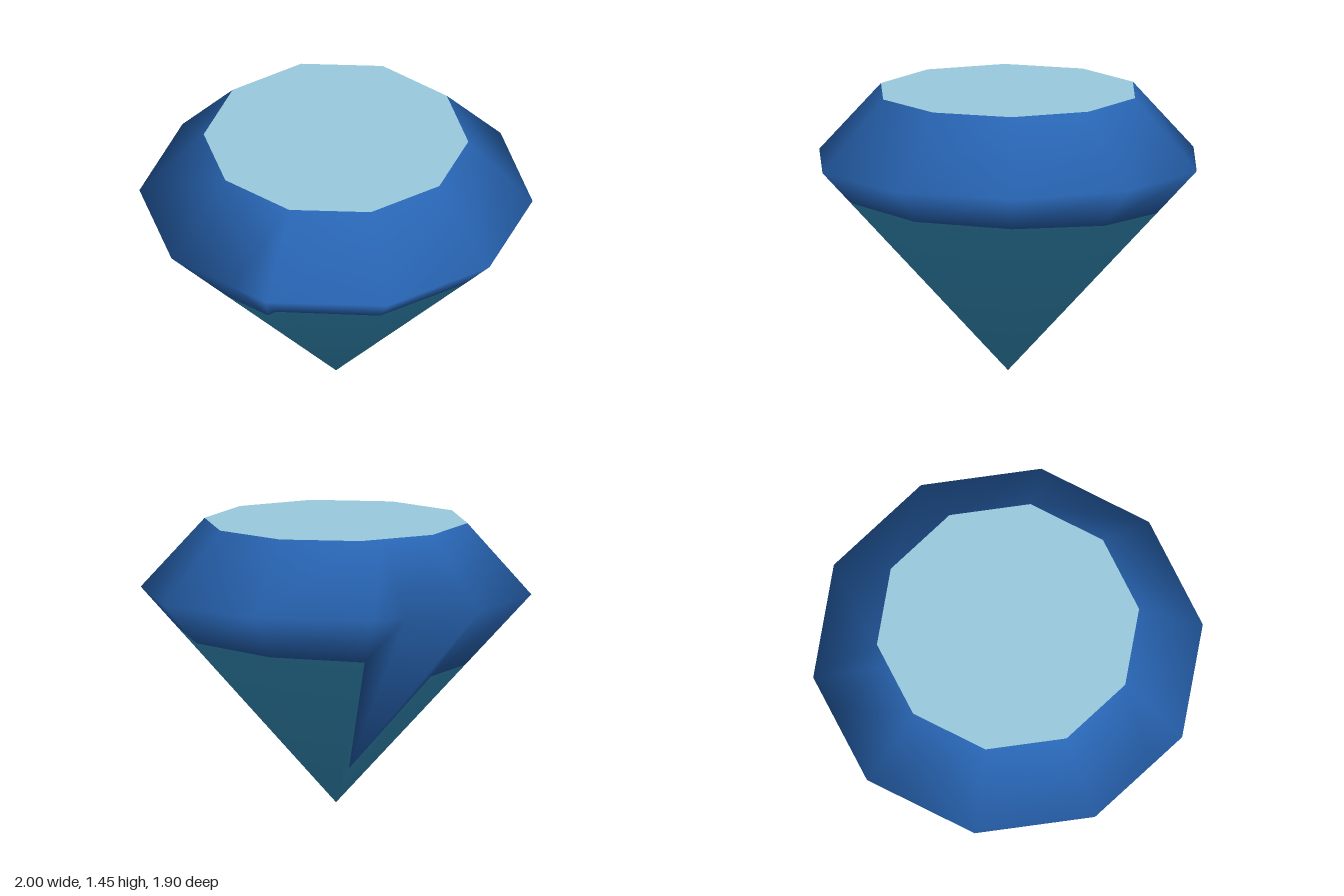
import * as THREE from 'three';

const SIDES = 10;
const GIRDLE_Y = 1.09, TABLE_Y = 1.45, TABLE_R = 0.673;

// Lower edge of the dark body: [angle in degrees from +x towards +z, height]
const EDGE = [
  [0, 0.91], [36, 0.925], [72, 0.94], [84.5, 0.72], [108, 0.72], [144, 0.72],
  [180, 0.72], [205, 0.2], [216, 0.84], [252, 0.86], [288, 0.88], [324, 0.9],
];

// Point on a decagon of the given corner radius
function onDecagon(deg, radius, y) {
  const step = 360 / SIDES;
  const rad = THREE.MathUtils.degToRad;
  const r = radius * Math.cos(rad(step / 2)) / Math.cos(rad((deg % step) - step / 2));
  return [r * Math.cos(rad(deg)), y, r * Math.sin(rad(deg))];
}

// Smooth skin over rings listed from bottom to top; a first ring of one point is a tip
function skin(rings) {
  const n = EDGE.length, positions = [], index = [];
  const starts = rings.map((ring) => {
    const start = positions.length / 3;
    ring.forEach((p) => positions.push(...p));
    return start;
  });
  for (let k = 0; k + 1 < rings.length; k++) {
    for (let i = 0; i < n; i++) {
      const j = (i + 1) % n, b = starts[k], t = starts[k + 1];
      if (rings[k].length === 1) index.push(b, t + i, t + j);
      else index.push(b + j, b + i, t + i, b + j, t + i, t + j);
    }
  }
  const geometry = new THREE.BufferGeometry();
  geometry.setAttribute('position', new THREE.Float32BufferAttribute(positions, 3));
  geometry.setIndex(index);
  geometry.computeVertexNormals();
  return geometry;
}

function material(name, color) {
  const m = new THREE.MeshStandardMaterial({ color });
  m.name = name;
  return m;
}

export function createModel() {
  const group = new THREE.Group();
  group.name = 'gem';
  const add = (name, geometry, mat) => {
    const mesh = new THREE.Mesh(geometry, mat);
    mesh.name = name;
    group.add(mesh);
    return mesh;
  };

  const edge = EDGE.map(([a, y]) => onDecagon(a, y / GIRDLE_Y, y));
  const girdle = EDGE.map(([a]) => onDecagon(a, 1, GIRDLE_Y));
  const rim = EDGE.map(([a]) => onDecagon(a, TABLE_R, TABLE_Y));

  // Dark crown, wrapping under the girdle
  add('crown', skin([edge, girdle, rim]), material('deep blue', 0x2865b4));

  // Lighter point below
  add('pavilion', skin([[[0, 0, 0]], edge]), material('bright blue', 0x3ca4d6));

  // Flat top facet
  const table = new THREE.CircleGeometry(TABLE_R, SIDES).rotateX(-Math.PI / 2);
  add('table', table, material('pale blue', 0x9accdf)).position.y = TABLE_Y;

  return group;
}
